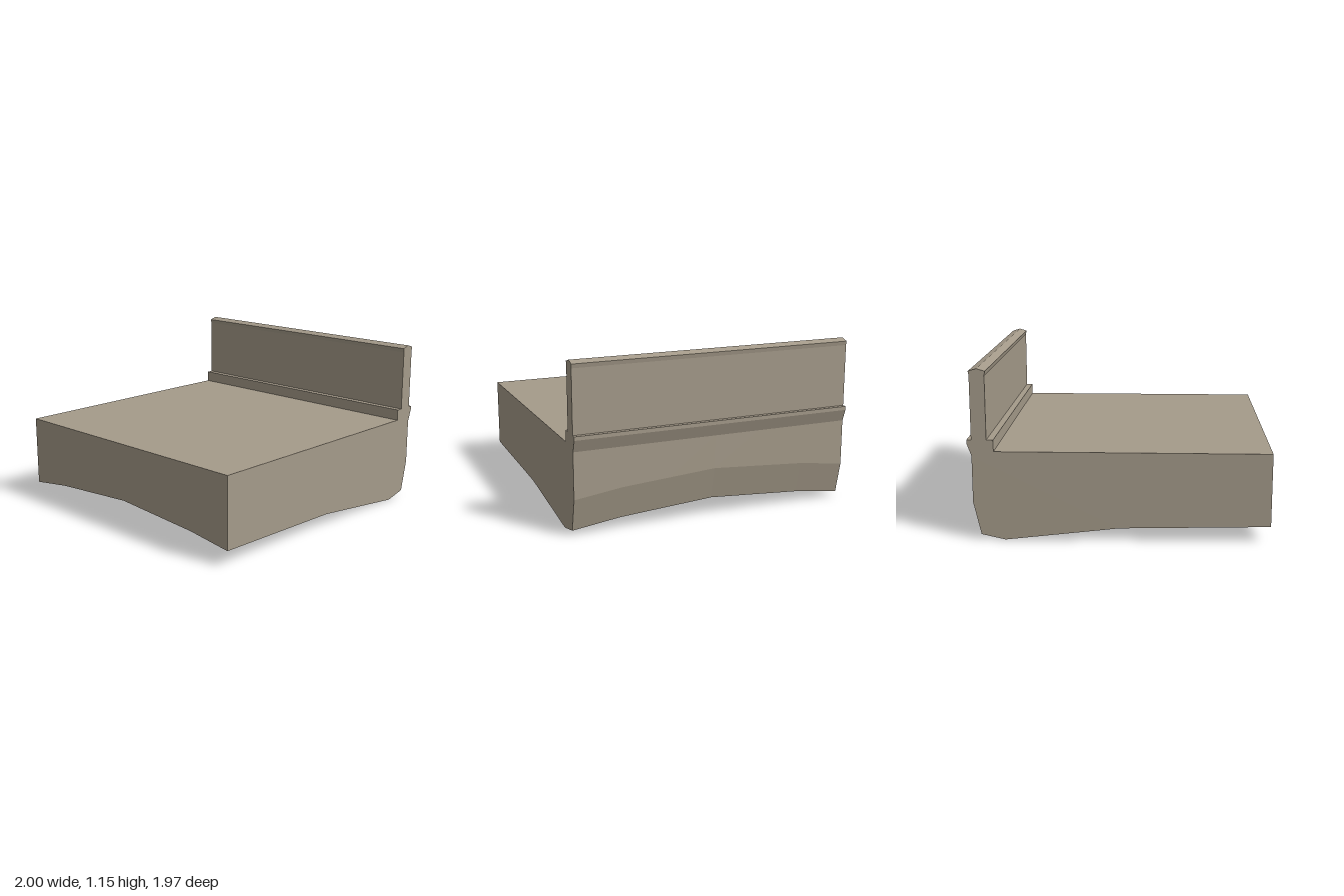
import * as THREE from 'three';

const HALF_DEPTH = 0.987;

// Extrude an outline along z, centred on z = 0
function extrudeProfile(points, steps = 1) {
  const shape = new THREE.Shape(points.map(([x, y]) => new THREE.Vector2(x, y)));
  const geometry = new THREE.ExtrudeGeometry(shape, { depth: HALF_DEPTH * 2, steps, bevelEnabled: false });
  return geometry.translate(0, 0, -HALF_DEPTH);
}

// Shallow three-part arch: steeper near the ends, gentler towards mid-span
function archRise(z) {
  const t = 1 - Math.abs(z) / HALF_DEPTH;
  return t < 1 / 3 ? t * 0.132 : 0.044 + (t - 1 / 3) * 0.069;
}

export function createModel() {
  const group = new THREE.Group();
  group.name = 'bridgeSection';
  const stone = new THREE.MeshStandardMaterial({ color: 0xa59b8a });
  stone.name = 'warm grey stone';

  const add = (name, geometry) => {
    const mesh = new THREE.Mesh(geometry, stone);
    mesh.name = name;
    group.add(mesh);
  };

  // Deck with an arched underside and a sloped outer haunch
  const deck = extrudeProfile([
    [-1, 0.605], [-1, 0.11], [0, 0.088], [0.76, 0], [0.92, 0.036],
    [0.97, 0.258], [0.97, 0.575], [0.981, 0.605],
  ], 6);
  const pos = deck.attributes.position;
  for (let i = 0; i < pos.count; i++) {
    if (pos.getY(i) < 0.3) pos.setY(i, pos.getY(i) + archRise(pos.getZ(i)));
  }
  deck.computeVertexNormals();
  add('deck', deck);

  // Parapet wall with kerb, outer string course and peaked coping
  add('parapet', extrudeProfile([
    [0.825, 0.605], [0.981, 0.605], [1, 0.657], [1, 0.683], [0.97, 0.683],
    [0.97, 1.11], [0.975, 1.138], [0.92, 1.155], [0.865, 1.138], [0.87, 1.11],
    [0.87, 0.683], [0.825, 0.683],
  ]));

  return group;
}
